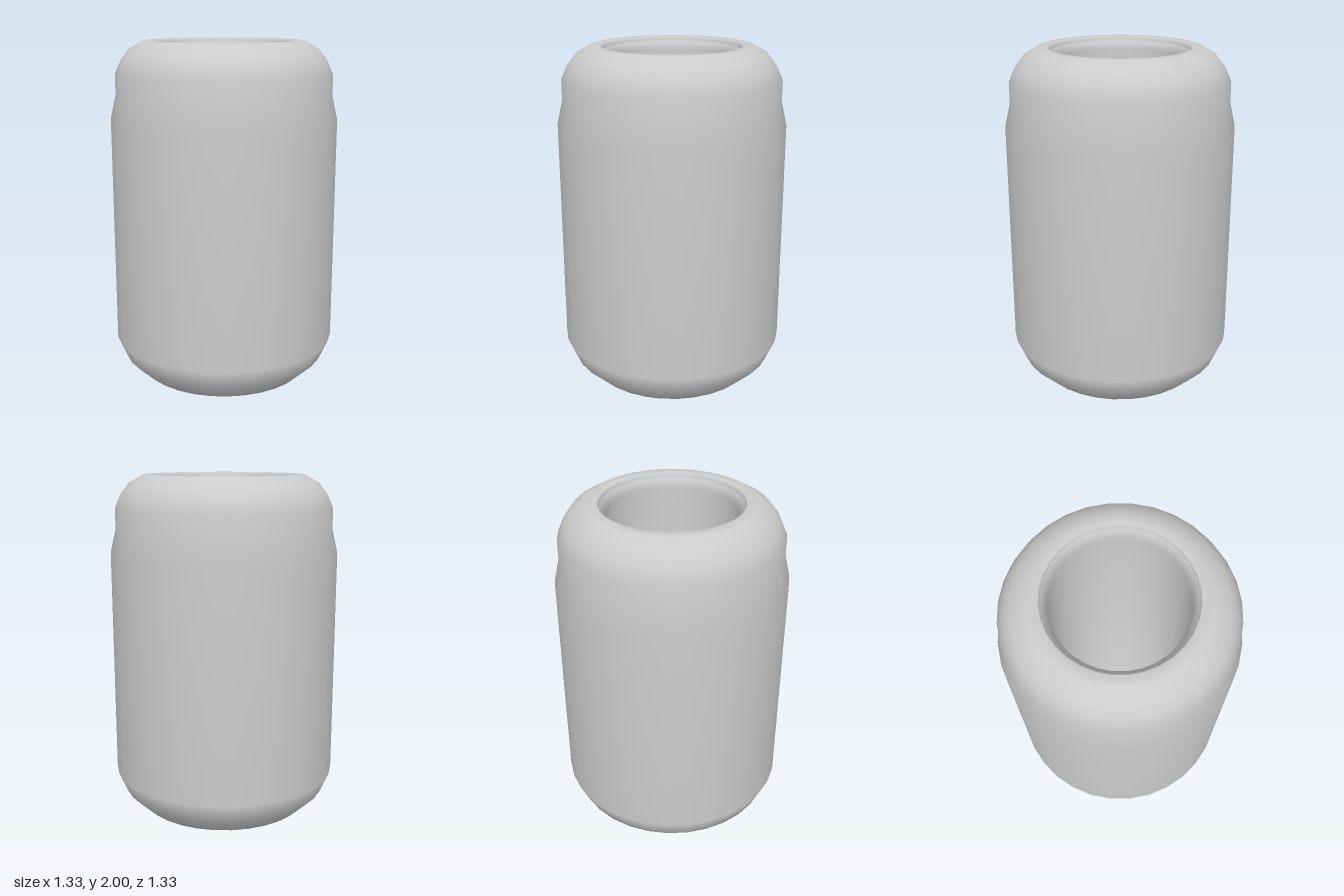
import * as THREE from 'three';

export function createModel() {
  const model = new THREE.Group();
  const material = new THREE.MeshStandardMaterial({ color: 0xcccccc });

  // One continuous profile: base, outer wall, neck, shoulder, lip, bore, floor
  const profile = [
    [0, 0], [0.51, 0], [0.615, 0.1], [0.667, 0.22],
    [0.667, 1.55], [0.635, 1.69], [0.635, 1.81],
    [0.6, 1.89], [0.55, 1.955], [0.47, 2], [0.41, 2],
    [0.4, 1.985], [0.4, 1.965], [0.365, 1.93],
    [0.365, 0.12], [0, 0.12],
  ].map(([r, y]) => new THREE.Vector2(r, y));

  const body = new THREE.Mesh(new THREE.LatheGeometry(profile, 32), material);
  body.name = 'hollowCanister';
  model.add(body);

  return model;
}
